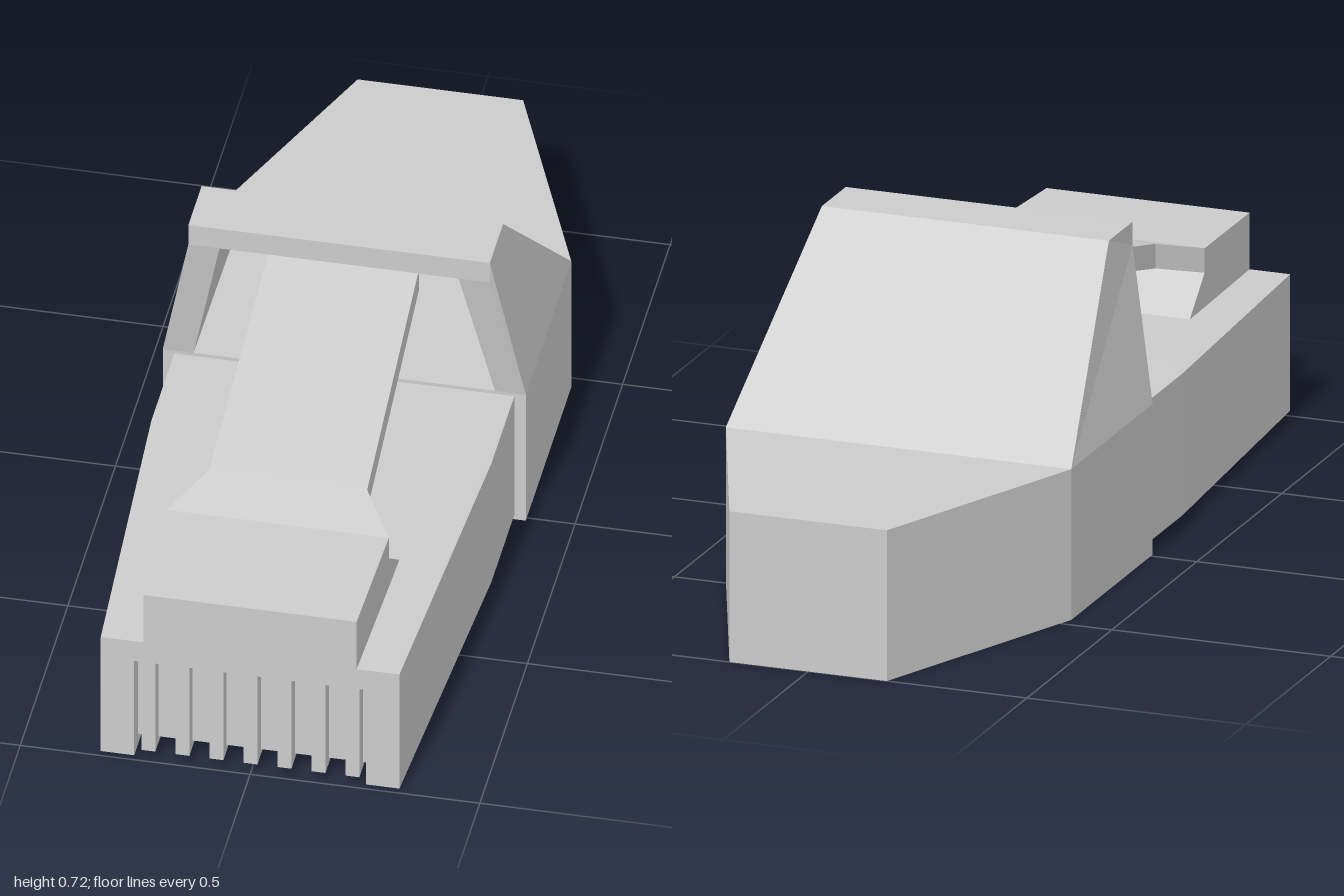
import * as THREE from 'three';

const material = new THREE.MeshStandardMaterial({ color: 0xcccccc, flatShading: true });

// Collects flat faces of a solid that is symmetric about x = 0
function symmetricSolid(name, build) {
  const pos = [];
  const mirror = ([x, y, z]) => [-x, y, z];
  const face = (pts) => {
    for (let i = 1; i < pts.length - 1; i++) pos.push(...pts[0], ...pts[i], ...pts[i + 1]);
  };
  // Strips across the model between consecutive profile points and their mirrors
  const span = (...pts) => {
    for (let i = 0; i < pts.length - 1; i++) {
      face([pts[i], pts[i + 1], mirror(pts[i + 1]), mirror(pts[i])]);
    }
  };
  // One face on the +x side and its mirror image
  const side = (...pts) => {
    face(pts);
    face(pts.map(mirror).reverse());
  };
  build(span, side);
  const geometry = new THREE.BufferGeometry();
  geometry.setAttribute('position', new THREE.Float32BufferAttribute(pos, 3));
  geometry.computeVertexNormals();
  const mesh = new THREE.Mesh(geometry, material);
  mesh.name = name;
  return mesh;
}

// Layer of the plug body between two heights; notchZ is the back of a front notch
const RECESS = 0.252;
function bodyLayer(name, y0, y1, notchZ) {
  const outline = [[-0.37, 0], [0.37, 0], [0.37, 0.25], [0.325, 1]];
  if (notchZ) outline.push([RECESS, 1], [RECESS, notchZ], [-RECESS, notchZ], [-RECESS, 1]);
  outline.push([-0.325, 1], [-0.37, 0.25]);
  const shape = new THREE.Shape(outline.map(([x, z]) => new THREE.Vector2(x, -z)));
  const geometry = new THREE.ExtrudeGeometry(shape, { depth: y1 - y0, bevelEnabled: false });
  geometry.rotateX(-Math.PI / 2).translate(0, y0, 0);
  const mesh = new THREE.Mesh(geometry, material);
  mesh.name = name;
  return mesh;
}

function box(name, w, y0, y1, z0, z1, x) {
  const mesh = new THREE.Mesh(new THREE.BoxGeometry(w, y1 - y0, z1 - z0), material);
  mesh.position.set(x, (y0 + y1) / 2, (z0 + z1) / 2);
  mesh.name = name;
  return mesh;
}

export function createModel() {
  const model = new THREE.Group();
  model.name = 'networkPlug';

  // Plug body: bottom slots, front slots, and a solid top that dips to the front
  const body = new THREE.Group();
  body.name = 'plugBody';
  const top = bodyLayer('bodyTop', 0.265, 0.33);
  const p = top.geometry.attributes.position;
  for (let i = 0; i < p.count; i++) {
    if (p.getY(i) > 0.3 && p.getZ(i) > 0.9) p.setY(i, 0.318);
  }
  top.geometry.computeVertexNormals();
  body.add(
    bodyLayer('bodyBottom', 0.012, 0.04, 0.3),
    bodyLayer('bodyMiddle', 0.04, 0.265, 0.96),
    top
  );
  model.add(body);

  // Seven dividers wrapping from the front face round to the underside
  const dividers = new THREE.Group();
  dividers.name = 'contactDividers';
  for (let i = -3; i <= 3; i++) {
    const x = i * 0.074;
    dividers.add(
      box('dividerFront', 0.03, 0.025, 0.265, 0.95, 0.995, x),
      box('dividerBottom', 0.03, 0.025, 0.045, 0.3, 0.95, x)
    );
  }
  model.add(dividers);

  // Latch: block on the body, undercut foot and a narrow rising arm
  model.add(symmetricSolid('latch', (span, side) => {
    const frontTop = [0.232, 0.445, 1], blockTop = [0.242, 0.455, 0.71];
    const neckTop = [0.172, 0.49, 0.6], tipTop = [0.163, 0.64, 0.01];
    const frontLow = [0.232, 0.31, 1], foot = [0.245, 0.325, 0.615];
    const blockLow = [0.242, 0.4, 0.71], neckLow = [0.172, 0.435, 0.6], tipLow = [0.163, 0.585, 0.01];
    span(frontLow, frontTop, blockTop, neckTop, tipTop, tipLow, neckLow, blockLow, foot, frontLow);
    side(frontLow, foot, blockLow, blockTop, frontTop);
    side(blockLow, neckLow, neckTop, blockTop);
    side(neckLow, tipLow, tipTop, neckTop);
  }));

  // Boot: tapered tail and a raised hood with a cavity open to the front
  model.add(symmetricSolid('bootHood', (span, side) => {
    const tailLow = [0.18, 0, -1], tailTop = [0.18, 0.338, -1];
    const midLow = [0.395, 0, -0.468], midTop = [0.395, 0.338, -0.468];
    const frontLow = [0.395, 0, 0.01], frontTop = [0.395, 0.338, 0.01];
    const rimLow = [0.328, 0.67, 0.065], rimTop = [0.328, 0.722, 0.065], ridge = [0.328, 0.722, -0.075];
    const holeLow = [0.328, 0.338, 0.01], holeTop = [0.26, 0.67, 0.065];
    const caveLow = [0.325, 0.338, -0.38], caveTop = [0.245, 0.67, -0.05];
    span(rimLow, rimTop, ridge, midTop, tailTop, tailLow, midLow, frontLow, frontTop);
    span(holeLow, caveLow, caveTop, holeTop);
    side(frontLow, midLow, midTop, frontTop);
    side(midLow, tailLow, tailTop, midTop);
    side(frontTop, midTop, ridge, rimTop, rimLow);
    side(holeLow, frontTop, rimLow, holeTop);
    side(holeLow, holeTop, caveTop, caveLow);
  }));

  return model;
}
